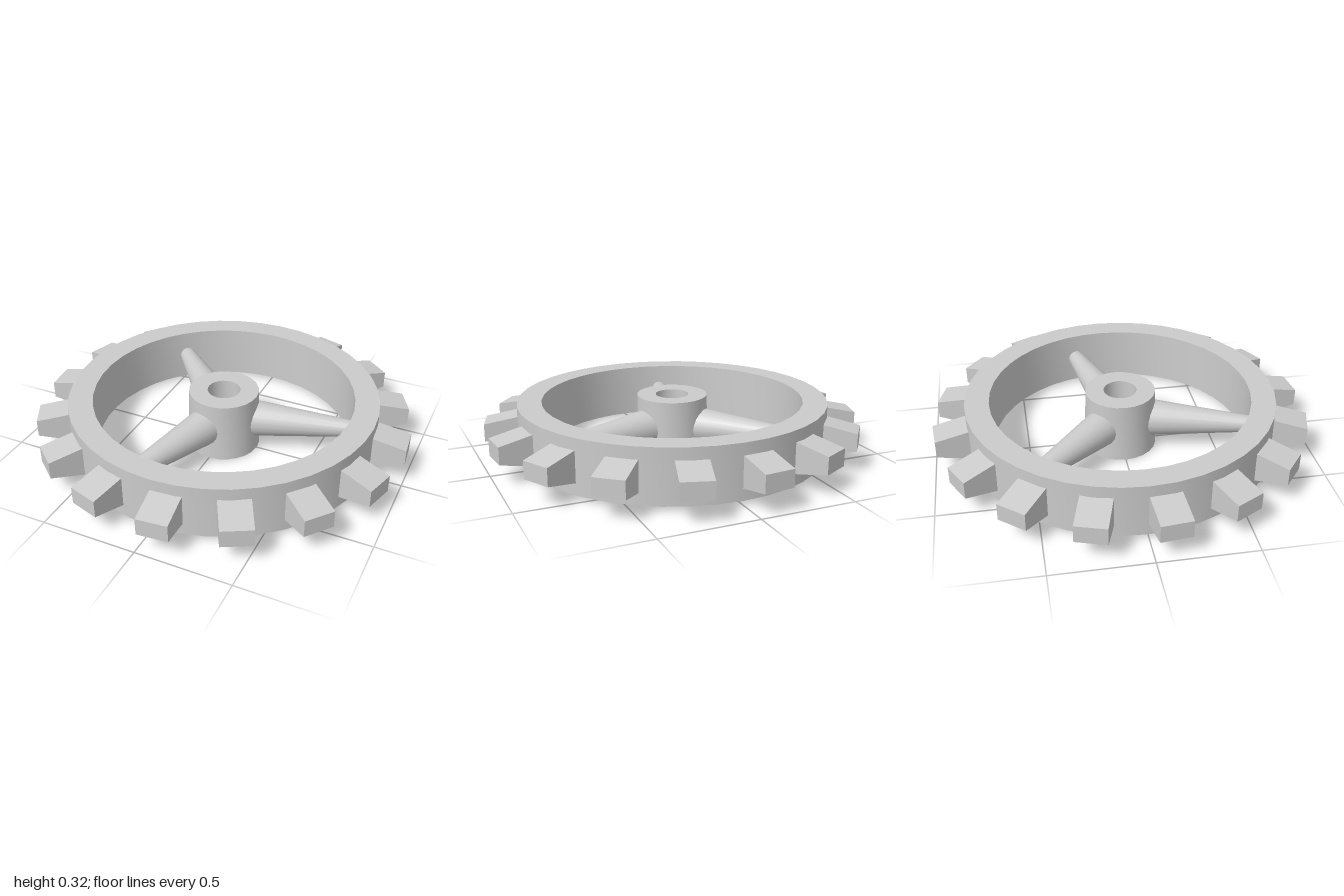
import * as THREE from 'three';
import { toCreasedNormals } from 'three/addons/utils/BufferGeometryUtils.js';

const MID_Y = 0.162;
const rad = THREE.MathUtils.degToRad;

export function createModel() {
  const model = new THREE.Group();
  model.name = 'gearWheel';
  const material = new THREE.MeshStandardMaterial({ color: 0xcccccc });

  const add = (name, geometry, angle = 0) => {
    const mesh = new THREE.Mesh(geometry, material);
    mesh.name = name;
    mesh.rotation.y = angle;
    model.add(mesh);
  };

  // Closed ring turned around y from [radius, y] corners, with sharp rims
  const turned = (corners, segments) => {
    const points = [...corners, corners[0]].map(([r, y]) => new THREE.Vector2(r, y));
    return toCreasedNormals(new THREE.LatheGeometry(points, segments), rad(35));
  };

  // Rim and bored hub, both with a slight draft
  add('rim', turned([[0.826, 0.02], [0.826, 0.305], [0.697, 0.305], [0.69, 0.02]], 40));
  add('hub', turned([[0.195, 0], [0.187, 0.322], [0.088, 0.322], [0.088, 0]], 24));

  // Three tapered round spokes
  const spoke = new THREE.CylinderGeometry(0.043, 0.1, 0.57, 20);
  spoke.rotateZ(-Math.PI / 2).translate(0.425, MID_Y, 0);
  for (let i = 0; i < 3; i++) add('spoke', spoke, rad(13.3 + i * 120));

  // Sixteen teeth that get thinner toward the tip
  const tooth = new THREE.BoxGeometry(0.195, 0.17, 0.16);
  const pos = tooth.attributes.position;
  for (let i = 0; i < pos.count; i++) {
    if (pos.getX(i) > 0) pos.setY(i, pos.getY(i) * 0.54);
  }
  tooth.translate(0.8975, MID_Y, 0);
  const flatTooth = tooth.toNonIndexed();
  flatTooth.computeVertexNormals();
  for (let i = 0; i < 16; i++) add('tooth', flatTooth, rad(5.5 + i * 22.5));

  return model;
}
